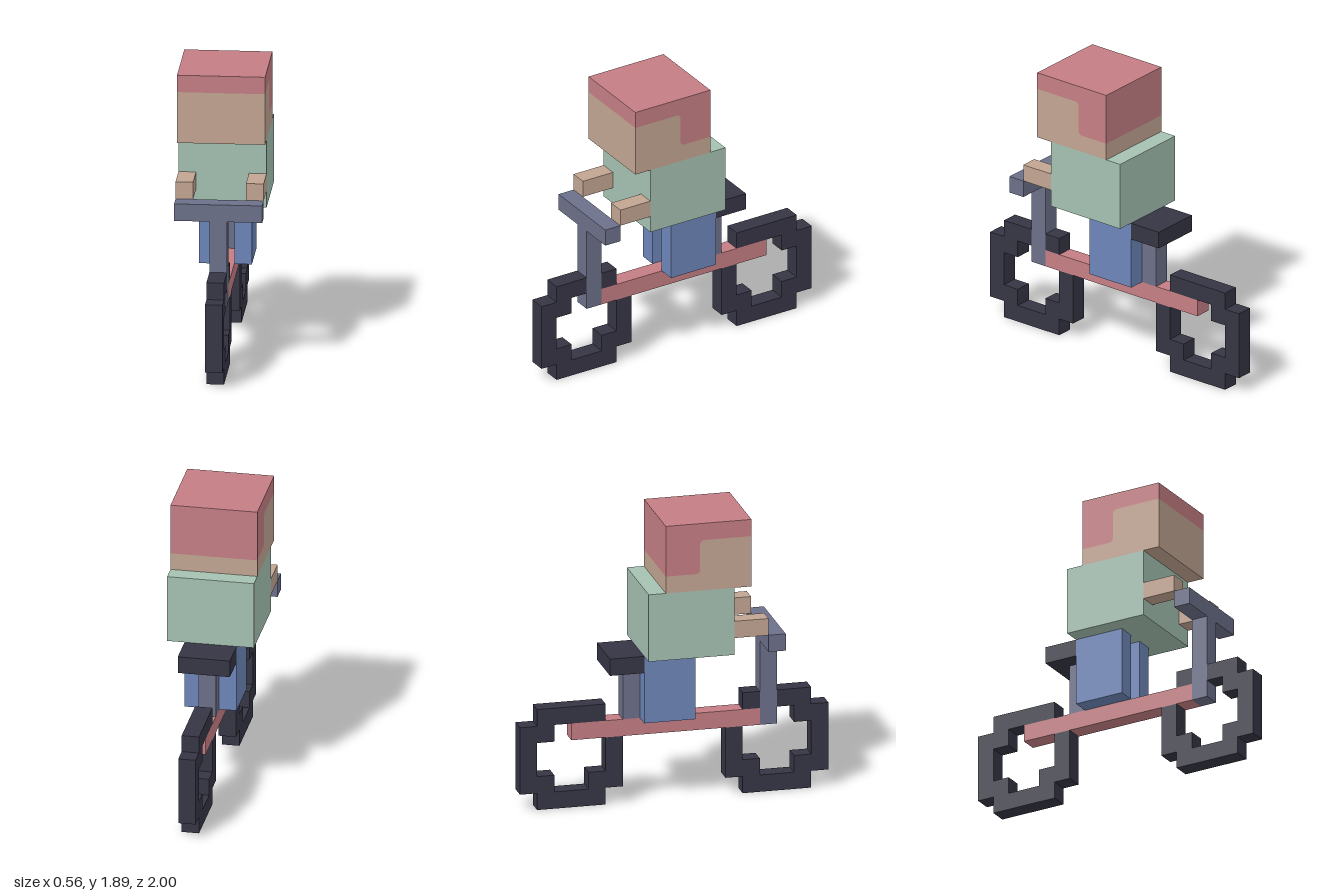
import * as THREE from 'three';

const U = 1 / 9; // one block

const paint = (name, color) => {
  const m = new THREE.MeshStandardMaterial({ color });
  m.name = name;
  return m;
};

export function createModel() {
  const model = new THREE.Group();
  model.name = 'cyclist';

  const red = paint('red', 0xc47e84);
  const skin = paint('skin', 0xc2a592);
  const shirt = paint('green', 0xa5c1b2);
  const trousers = paint('blue', 0x6c85b8);
  const metal = paint('grey', 0x6c7089);
  const black = paint('black', 0x363545);

  // Box given by its limits in blocks
  const block = (name, mat, [x0, x1], [y0, y1], [z0, z1], parent = model) => {
    const mesh = new THREE.Mesh(
      new THREE.BoxGeometry((x1 - x0) * U, (y1 - y0) * U, (z1 - z0) * U), mat);
    mesh.position.set((x0 + x1) / 2 * U, (y0 + y1) / 2 * U, (z0 + z1) / 2 * U);
    mesh.name = name;
    parent.add(mesh);
  };
  const thin = [-0.5, 0.5];

  // Stepped wheels; s = 1 front, -1 rear, z measured outward from the middle
  for (const s of [1, -1]) {
    const wheel = new THREE.Group();
    wheel.name = s > 0 ? 'frontWheel' : 'rearWheel';
    const part = (name, y, a, b) =>
      block(name, black, thin, y, s > 0 ? [a, b] : [-b, -a], wheel);
    part('tyreBottom', [0, 1], 4, 8);
    part('tyreInnerSide', [1, 4], 3, 4);
    part('tyreOuterSide', [1, 5], 8, 9);
    part('lowerInnerCorner', [1, 2], 4, 5);
    part('lowerOuterCorner', [1, 2], 7, 8);
    part('upperOuterCorner', [4, 5], 7, 8);
    if (s > 0) { // the fork passes through the top
      part('tyreTopOuter', [5, 6], 6, 8);
      part('tyreTopInner', [5, 6], 4, 5);
    } else {
      part('tyreTop', [5, 6], 4, 8);
    }
    model.add(wheel);
  }

  // Bicycle
  block('frame', red, thin, [4, 5], [-6, 5]);
  block('fork', metal, thin, [4, 9], [5, 6]);
  block('handlebar', metal, [-2.5, 2.5], [9, 10], [5, 6]);
  block('seatPost', metal, thin, [5, 8], [-3, -2]);
  block('seat', black, [-1.5, 1.5], [8, 9], [-4, -2]);

  // Rider
  block('torso', shirt, [-2.5, 2.5], [9, 13], [-2, 3]);
  for (const [side, s] of [['left', 1], ['right', -1]]) {
    const span = (a, b) => (s > 0 ? [a, b] : [-b, -a]);
    block(side + 'Leg', trousers, span(0.5, 1.5), [5, 9], [-2, 1]);
    block(side + 'Arm', skin, span(1.5, 2.5), [10, 11], [3, 5]);
  }

  // Head: face and hair are side profiles (z, y) meeting along a rounded hairline
  const r = 0.28;
  const hairline = (shape) => {
    shape.lineTo(-1, 14);
    shape.lineTo(1 - r, 14);
    shape.quadraticCurveTo(1, 14, 1, 14 + r);
    shape.lineTo(1, 16 - r);
    shape.quadraticCurveTo(1, 16, 1 + r, 16);
    shape.lineTo(4, 16);
  };
  const headPart = (name, mat, y) => {
    const shape = new THREE.Shape();
    shape.moveTo(-1, y);
    hairline(shape);
    shape.lineTo(4, y);
    shape.closePath();
    const geo = new THREE.ExtrudeGeometry(shape, { depth: 5, bevelEnabled: false, curveSegments: 5 });
    geo.translate(0, 0, -2.5).rotateY(-Math.PI / 2).scale(U, U, U);
    const mesh = new THREE.Mesh(geo, mat);
    mesh.name = name;
    model.add(mesh);
  };
  headPart('face', skin, 13);
  headPart('hair', red, 17);

  return model;
}
